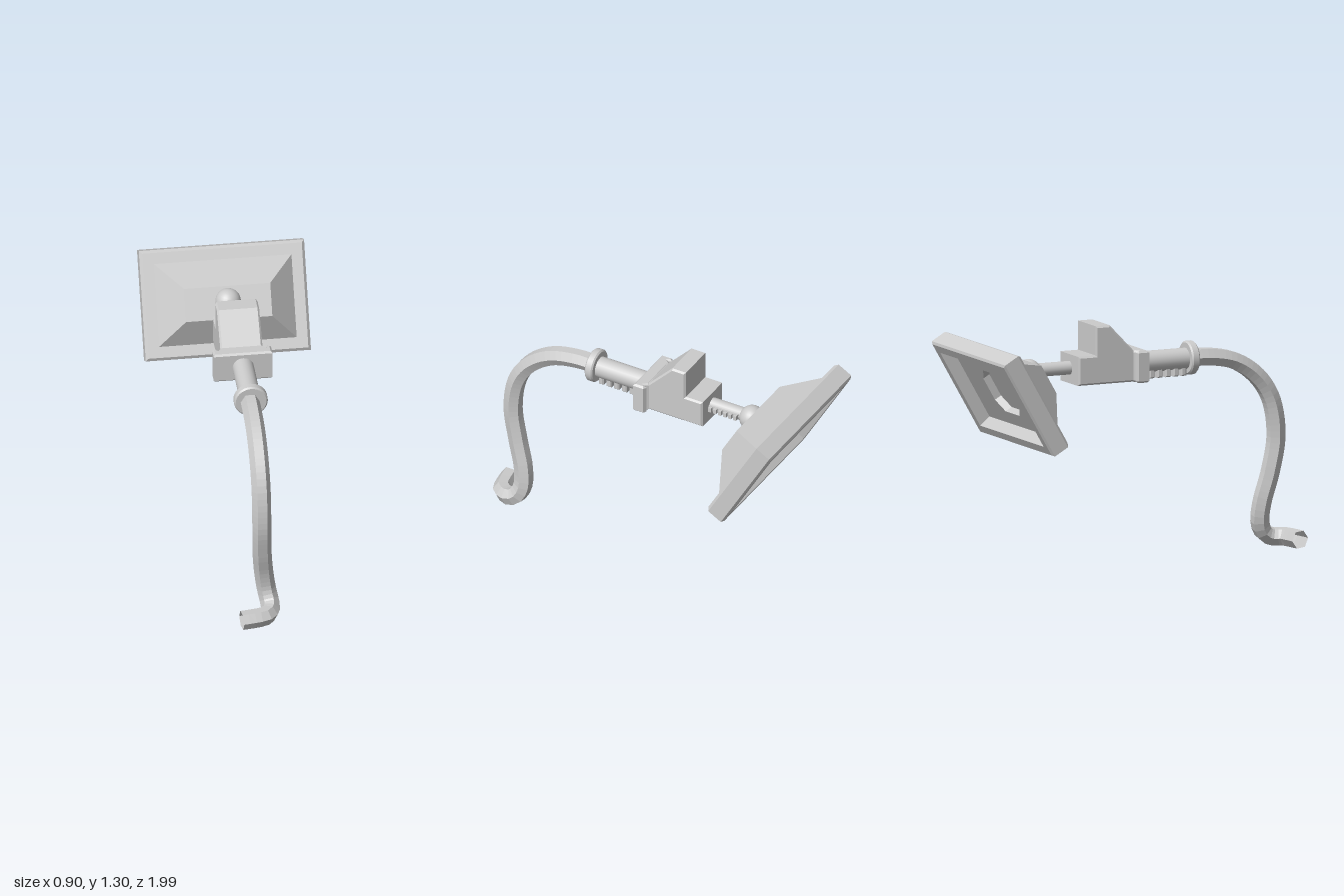
import * as THREE from 'three';

const material = new THREE.MeshStandardMaterial({ color: 0xcccccc });
const flat = new THREE.MeshStandardMaterial({ color: 0xcccccc, flatShading: true, side: THREE.DoubleSide });
const AXIS_Y = 1.075; // height of the grip and rod axis

function add(parent, name, geometry, x = 0, y = 0, z = 0, mat = material) {
  const mesh = new THREE.Mesh(geometry, mat);
  mesh.name = name;
  mesh.position.set(x, y, z);
  parent.add(mesh);
  return mesh;
}

// cylinder lying along z
const rodGeometry = (r, length, sides = 24) => new THREE.CylinderGeometry(r, r, length, sides).rotateX(Math.PI / 2);

const shapeOf = (points) => new THREE.Shape(points.map(([x, y]) => new THREE.Vector2(x, y)));

// extrude a profile of [z, y] points across x, with small chamfers
function sideProfile(points, width, bevel) {
  const geometry = new THREE.ExtrudeGeometry(shapeOf(points.map(([z, y]) => [-z, y])), {
    depth: width - 2 * bevel, bevelEnabled: true, bevelThickness: bevel,
    bevelSize: bevel, bevelOffset: -bevel, bevelSegments: 1,
  });
  return geometry.translate(0, 0, bevel - width / 2).rotateY(Math.PI / 2);
}

// skin through rectangular rings [halfWidth, halfHeight, z], capped at the first
function rectLoft(rings) {
  const positions = [], index = [];
  for (const [w, h, z] of rings) positions.push(w, h, z, -w, h, z, -w, -h, z, w, -h, z);
  index.push(0, 1, 2, 0, 2, 3);
  for (let i = 0; i < rings.length - 1; i++) {
    for (let k = 0; k < 4; k++) {
      const a = i * 4 + k, d = i * 4 + (k + 1) % 4;
      index.push(a, a + 4, d + 4, a, d + 4, d);
    }
  }
  const geometry = new THREE.BufferGeometry();
  geometry.setAttribute('position', new THREE.Float32BufferAttribute(positions, 3));
  geometry.setIndex(index);
  const faceted = geometry.toNonIndexed();
  faceted.computeVertexNormals();
  return faceted;
}

// rectangle with cut corners, counter-clockwise
const cutRect = (w, h, c) => [
  [w, c - h], [w, h - c], [w - c, h], [c - w, h],
  [-w, h - c], [-w, c - h], [c - w, -h], [w - c, -h],
];

function createPanel() {
  const panel = new THREE.Group();
  panel.name = 'tiltedPanel';
  panel.position.set(0, 0.99, -0.75);
  panel.rotation.x = -Math.PI / 6;

  // sloped housing, rim and recess in one skin
  add(panel, 'panelHousing', rectLoft([
    [0.235, 0.09, 0.147], [0.375, 0.225, 0], [0.435, 0.285, 0], [0.45, 0.3, -0.015],
    [0.45, 0.3, -0.105], [0.438, 0.288, -0.115], [0.39, 0.24, -0.115], [0.37, 0.22, -0.05],
  ]));

  // recess floor with an eight-sided pocket
  const floor = shapeOf([[-0.37, -0.22], [0.37, -0.22], [0.37, 0.22], [-0.37, 0.22]]);
  const pocket = cutRect(0.15, 0.135, 0.065);
  floor.holes.push(new THREE.Path(pocket.map(([x, y]) => new THREE.Vector2(x, y))));
  add(panel, 'recessFloor', new THREE.ExtrudeGeometry(floor, { depth: 0.045, bevelEnabled: false }), 0, 0, -0.05);
  add(panel, 'pocketFloor', new THREE.ShapeGeometry(shapeOf(pocket)), 0, 0, -0.008, flat);
  return panel;
}

function createBody() {
  const body = new THREE.Group();
  body.name = 'body';
  add(body, 'bodyBlock', sideProfile([
    [0, 0.99], [-0.385, 0.99], [-0.385, 1.15], [-0.28, 1.15],
    [-0.28, 1.31], [-0.195, 1.31], [-0.05, 1.16], [0, 1.16],
  ], 0.23, 0.01));

  // wide front flange, tapering where it meets the block
  const flange = shapeOf([
    [-0.16, -0.02], [0.16, -0.02], [0.16, 0.045], [0.14, 0.055], [0.13, 0.035],
    [0.115, 0.055], [-0.115, 0.055], [-0.13, 0.035], [-0.14, 0.055], [-0.16, 0.045],
  ]);
  const flangeGeometry = new THREE.ExtrudeGeometry(flange, {
    depth: 0.155, bevelThickness: 0.01, bevelSize: 0.01, bevelOffset: -0.01, bevelSegments: 1,
  }).rotateX(-Math.PI / 2);
  add(body, 'frontFlange', flangeGeometry, 0, 0.997, 0);
  return body;
}

export function createModel() {
  const model = new THREE.Group();
  model.name = 'armMountedLamp';

  // bent six-sided arm, open at the foot
  const path = new THREE.CatmullRomCurve3([
    [-0.005, 1.078, 0.33], [-0.005, 1.075, 0.46], [-0.005, 1.04, 0.61], [-0.005, 0.95, 0.74],
    [-0.005, 0.82, 0.825], [-0.005, 0.62, 0.857], [0, 0.42, 0.825], [0.015, 0.25, 0.782],
    [0.03, 0.14, 0.777], [0.043, 0.075, 0.81], [0.042, 0.054, 0.86],
    [0.01, 0.054, 0.915], [-0.05, 0.054, 0.933], [-0.125, 0.054, 0.944],
  ].map((p) => new THREE.Vector3(...p)));
  add(model, 'bentArm', new THREE.TubeGeometry(path, 48, 0.052, 6), 0, 0, 0, flat);

  // grip with collar and finger ridges
  add(model, 'grip', rodGeometry(0.058, 0.34), 0, AXIS_Y, 0.16);
  const collar = [[0, -0.024], [0.084, -0.024], [0.092, -0.016], [0.092, 0.016], [0.084, 0.024], [0, 0.024]];
  // separate bands keep the collar edges crisp
  for (let i = 0; i < collar.length - 1; i++) {
    const band = collar.slice(i, i + 2).map(([r, y]) => new THREE.Vector2(r, y));
    add(model, 'collar', new THREE.LatheGeometry(band, 32).rotateX(Math.PI / 2), 0, 1.078, 0.338);
  }
  for (let i = 0; i < 6; i++) {
    add(model, 'fingerRidge', sideProfile([
      [-0.016, 0], [0.016, 0], [0.016, 0.06], [-0.016, 0.06],
    ], 0.07, 0.007), 0, 0.985, 0.05 + i * 0.048);
  }

  model.add(createBody());

  // toothed rod ending in a ball joint
  add(model, 'rod', rodGeometry(0.037, 0.22), 0, AXIS_Y, -0.48);
  add(model, 'toothRail', new THREE.BoxGeometry(0.02, 0.03, 0.18), 0.034, AXIS_Y, -0.475);
  for (let i = 0; i < 6; i++) {
    add(model, 'rodTooth', new THREE.BoxGeometry(0.03, 0.026, 0.018), 0.046, AXIS_Y, -0.4 - i * 0.031);
  }
  add(model, 'ballJoint', new THREE.SphereGeometry(0.07, 24, 16), 0, 1.07, -0.63);

  model.add(createPanel());
  return model;
}
